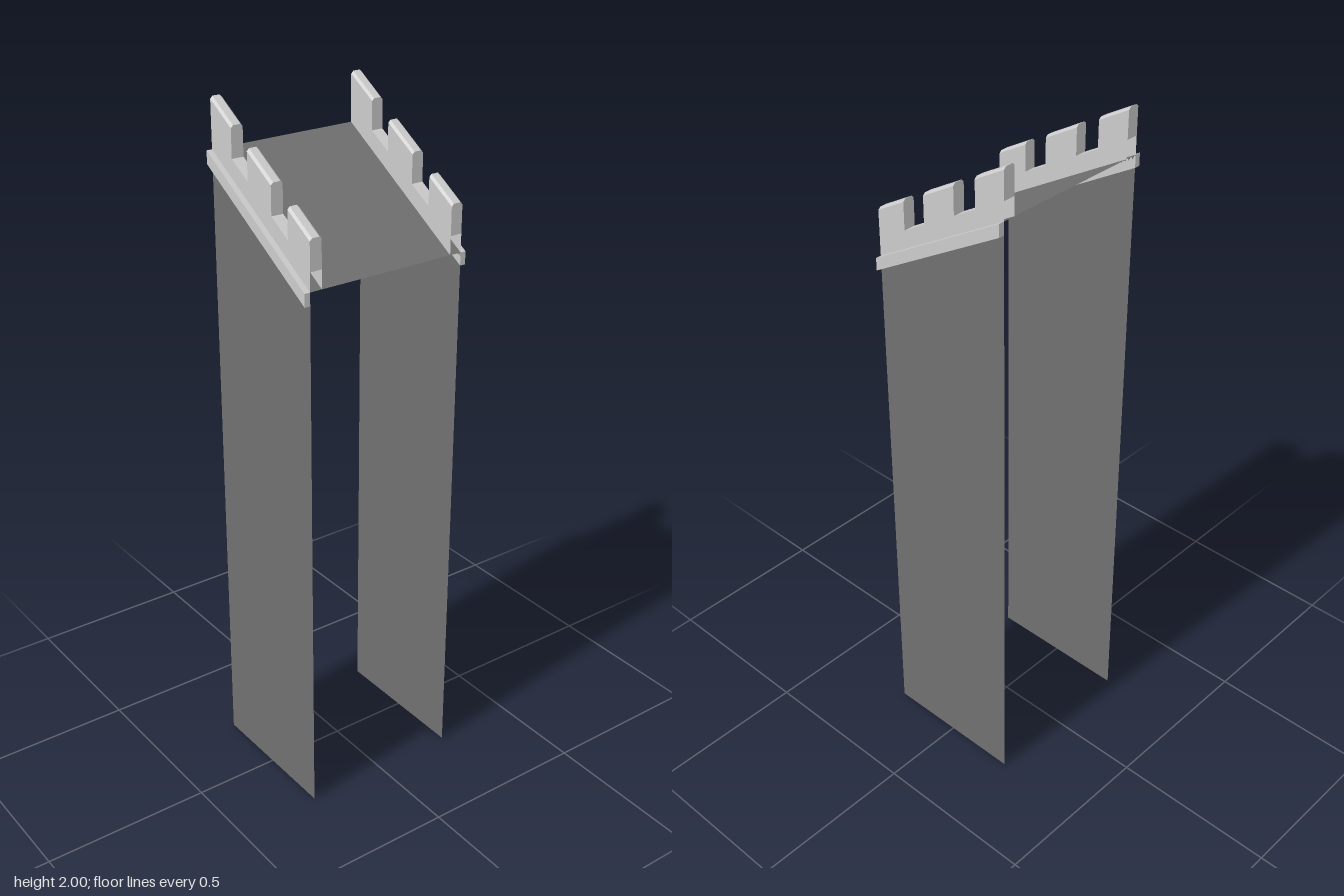
import * as THREE from 'three';

const HALF = 0.22;        // half length of the wall section
const OUT = 0.244;        // outer face of wall and parapet
const INN = 0.208;        // inner face of parapet
const CRENEL = 0.053;     // crenel height above the walkway
const TOP = 0.14;         // merlon height above the walkway

const light = new THREE.MeshStandardMaterial({ color: 0xcccccc, side: THREE.DoubleSide });
const dark = new THREE.MeshStandardMaterial({ color: 0x707070, side: THREE.DoubleSide });

// Height of the sloping walkway at x
const slopeY = (x) => 1.73 - 0.591 * x;

// Lifts a level geometry onto the slope by shearing it
function onSlope(geometry) {
  const g = geometry.index ? geometry.toNonIndexed() : geometry;
  const p = g.attributes.position;
  for (let i = 0; i < p.count; i++) p.setY(i, p.getY(i) + slopeY(p.getX(i)));
  g.computeVertexNormals();
  return g;
}

function add(parent, name, geometry, material) {
  const mesh = new THREE.Mesh(geometry, material);
  mesh.name = name;
  parent.add(mesh);
  return mesh;
}

// Cross-section given as [distance from centre, height], swept from x0 to x1
function sweep(profile, x0, x1) {
  const shape = new THREE.Shape(profile.map(([d, y]) => new THREE.Vector2(d, y)));
  const g = new THREE.ExtrudeGeometry(shape, { depth: x1 - x0, bevelEnabled: false });
  return onSlope(g.rotateY(Math.PI / 2).translate(x0, 0, 0));
}

// One side of the wall, at negative z
function createSide() {
  const side = new THREE.Group();

  // Tall thin wall sheet with sloping top
  const sheet = new THREE.Shape([
    new THREE.Vector2(-HALF, 0),
    new THREE.Vector2(HALF, 0),
    new THREE.Vector2(HALF, slopeY(HALF)),
    new THREE.Vector2(-HALF, slopeY(-HALF)),
  ]);
  const wall = new THREE.ShapeGeometry(sheet).rotateY(Math.PI).scale(-1, 1, 1);
  wall.translate(0, 0, -OUT);
  // Restore outward winding after the flip
  const idx = wall.index.array;
  for (let i = 0; i < idx.length; i += 3) [idx[i], idx[i + 1]] = [idx[i + 1], idx[i]];
  wall.computeVertexNormals();
  if (wall.attributes.normal.getZ(0) > 0) {
    for (let i = 0; i < idx.length; i += 3) [idx[i], idx[i + 1]] = [idx[i + 1], idx[i]];
    wall.computeVertexNormals();
  }
  add(side, 'wallSheet', wall, dark);

  // Projecting string course
  add(side, 'trimBand',
    sweep([[OUT, -0.037], [0.261, -0.037], [0.261, 0], [OUT, 0]], -HALF, HALF), light);

  // Low parapet faces, open at the ends
  const strip = () => new THREE.PlaneGeometry(2 * HALF, CRENEL).translate(0, CRENEL / 2, 0);
  add(side, 'parapetInnerFace', onSlope(strip().translate(0, 0, -INN)), light);
  add(side, 'parapetOuterFace', onSlope(strip().rotateY(Math.PI).translate(0, 0, -OUT)), light);

  // Crenel floors
  for (const x of [-0.089, 0.089]) {
    const floor = new THREE.PlaneGeometry(0.072, OUT - INN).rotateX(-Math.PI / 2);
    add(side, 'crenelFloor', onSlope(floor.translate(x, CRENEL, -(OUT + INN) / 2)), light);
  }

  // Merlons with chamfered tops
  const merlon = [
    [INN, CRENEL], [OUT, CRENEL], [OUT, TOP - 0.007],
    [OUT - 0.007, TOP], [INN + 0.007, TOP], [INN, TOP - 0.007],
  ];
  for (const [x0, x1] of [[-HALF, -0.125], [-0.053, 0.053], [0.125, HALF]]) {
    add(side, 'merlon', sweep(merlon, x0, x1), light);
  }
  return side;
}

export function createModel() {
  const model = new THREE.Group();
  model.name = 'slopingCastleWall';

  // Sloping walkway between the walls
  const floor = new THREE.PlaneGeometry(2 * HALF, 2 * OUT).rotateX(-Math.PI / 2);
  add(model, 'walkway', onSlope(floor), dark);

  const back = createSide();
  back.name = 'backWall';
  const front = createSide();
  front.name = 'frontWall';
  front.scale.z = -1;
  model.add(back, front);
  return model;
}
